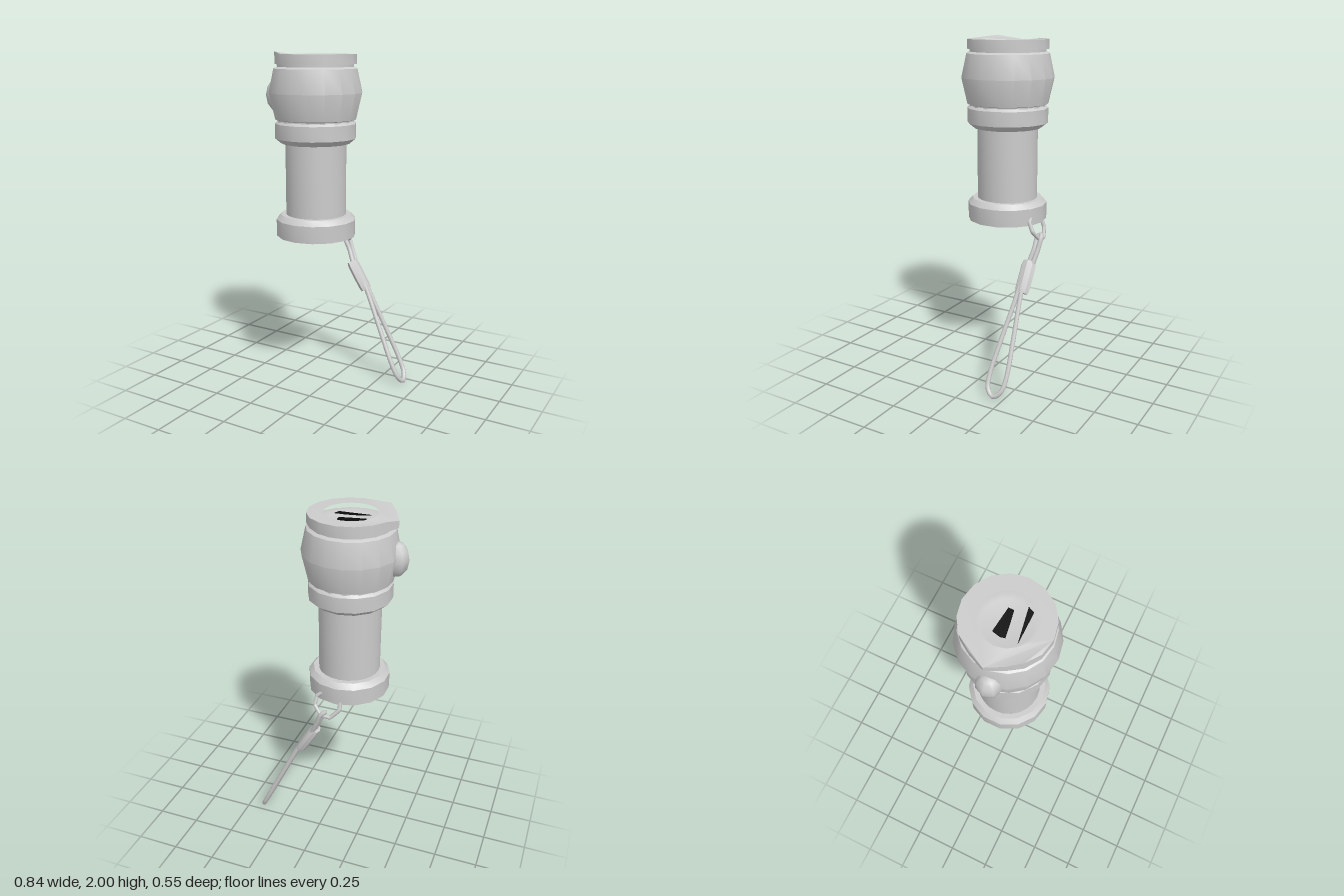
import * as THREE from 'three';
import { toCreasedNormals } from 'three/addons/utils/BufferGeometryUtils.js';

const grey = new THREE.MeshStandardMaterial({ color: 0xcccccc });
const dark = new THREE.MeshStandardMaterial({ color: 0x0a0a0a });
const AXIS_X = -0.1;

function add(parent, name, geometry, material = grey) {
  const mesh = new THREE.Mesh(geometry, material);
  mesh.name = name;
  parent.add(mesh);
  return mesh;
}

// Turned part from [radius, height] pairs, listed from the bottom up
function turned(profile, sides) {
  const points = profile.map(([r, y]) => new THREE.Vector2(r, y));
  return toCreasedNormals(new THREE.LatheGeometry(points, sides), 0.5);
}

function cord(points, radius, steps, closed = false, sides = 8) {
  const curve = new THREE.CatmullRomCurve3(points.map((p) => new THREE.Vector3(...p)), closed);
  return new THREE.TubeGeometry(curve, steps, radius, sides, closed);
}

// Flat outline drawn in (x, z), extruded upward
function slab(outline, y, height, holeRadius = 0) {
  const shape = new THREE.Shape(outline.map(([x, z]) => new THREE.Vector2(x, -z)));
  if (holeRadius) shape.holes.push(new THREE.Path().absarc(0, 0, holeRadius, 0, Math.PI * 2, true));
  const g = new THREE.ExtrudeGeometry(shape, { depth: height, bevelEnabled: false, curveSegments: 8 });
  return g.rotateX(-Math.PI / 2).translate(0, y, 0);
}

export function createModel() {
  const model = new THREE.Group();
  model.name = 'flashlight';

  const body = new THREE.Group();
  body.name = 'body';
  body.position.x = AXIS_X;
  model.add(body);

  // Faceted end cap, handle and collar
  add(body, 'tailCap', turned([[0, 0.93], [0.235, 0.93], [0.237, 1.03], [0.21, 1.06], [0, 1.06]], 14));
  add(body, 'handle', turned([[0.178, 1.05], [0.178, 1.5]], 24));
  add(body, 'collar', turned([[0, 1.48], [0.2, 1.48], [0.237, 1.51], [0.237, 1.595], [0.222, 1.61], [0, 1.61]], 14));

  // Bulging head with a shallow concave lens on top
  add(body, 'head', turned([
    [0.222, 1.6], [0.222, 1.615], [0.238, 1.62], [0.272, 1.77], [0.242, 1.905],
    [0.222, 1.915], [0.222, 1.935], [0.15, 1.95], [0.125, 1.945], [0, 1.935],
  ], 17));

  // Dark bulb openings on the lens
  const openings = [
    [[-0.07, -0.045], [0.07, -0.03], [0.07, 0], [-0.075, 0.025], [-0.08, 0]],
    [[-0.08, 0.09], [0.115, 0.055], [0.1, 0.09]],
  ];
  openings.forEach((outline) => add(body, 'bulbOpening', slab(outline, 1.93, 0.018), dark));

  // Bezel ring: the outline is drawn out to a point at the switch side
  const outline = [];
  for (let i = 0; i < 16; i++) {
    const a = (i / 16) * Math.PI * 2;
    const r = i === 8 ? 0.26 : 0.237;
    outline.push([r * Math.cos(a), r * Math.sin(a)]);
  }
  const bezel = slab(outline, 1.93, 0.055, 0.148);
  const p = bezel.attributes.position;
  for (let i = 0; i < p.count; i++) {
    if (p.getY(i) < 1.96) continue;
    if (p.getX(i) < -0.25) p.setY(i, 1.968);
    else if (p.getX(i) < -0.15 && p.getX(i) > -0.18 && p.getZ(i) > 0.15) p.setY(i, 2);
  }
  add(body, 'bezelRing', toCreasedNormals(bezel, 0.5));

  // Rounded switch button
  const button = add(body, 'button', new THREE.SphereGeometry(1, 8, 6));
  button.scale.set(0.075, 0.1, 0.072);
  button.position.set(-0.245, 1.75, 0.02);

  // Angular metal link under the tail cap
  const strap = new THREE.Group();
  strap.name = 'wristStrap';
  model.add(strap);
  const link = new THREE.CurvePath();
  const corners = [
    [-0.07, 0.99, -0.2], [-0.125, 0.95, -0.215], [-0.125, 0.895, -0.238], [-0.075, 0.845, -0.258],
    [-0.02, 0.85, -0.258], [0.025, 0.9, -0.238], [0.02, 0.95, -0.215], [-0.03, 0.99, -0.2],
  ].map((c) => new THREE.Vector3(...c));
  corners.forEach((c, i) => link.add(new THREE.LineCurve3(c, corners[(i + 1) % corners.length])));
  add(strap, 'link', new THREE.TubeGeometry(link, 48, 0.012, 6, true));

  // Small loop of cord around the link
  add(strap, 'upperCord', cord([
    [0.04, 0.7, -0.215], [0, 0.79, -0.235], [-0.035, 0.86, -0.24],
    [-0.045, 0.875, -0.258], [-0.025, 0.86, -0.268], [0.005, 0.79, -0.262], [0.045, 0.7, -0.245],
  ], 0.014, 28));

  // Clamp sleeve joining both cords
  const top = new THREE.Vector3(0.025, 0.722, -0.227);
  const end = new THREE.Vector3(0.127, 0.557, -0.217);
  const half = top.distanceTo(end) / 2;
  const sleeve = add(strap, 'clampSleeve', turned([
    [0, -half], [0.027, -half], [0.031, -half * 0.7], [0.031, half * 0.7], [0.027, half], [0, half],
  ], 8));
  sleeve.position.copy(top).add(end).multiplyScalar(0.5);
  sleeve.rotation.z = Math.atan2(end.x - top.x, top.y - end.y);
  sleeve.scale.z = 1.5;

  // Long hand loop, hanging along a slanted line
  const hang = [
    [0.6, -0.207], [0.5, -0.196], [0.3, -0.165], [0.12, -0.142], [0.05, -0.15], [0.016, -0.19],
    [0.05, -0.236], [0.12, -0.25], [0.3, -0.243], [0.5, -0.229], [0.6, -0.225],
  ].map(([y, z]) => [0.14 + (0.56 - y) * 0.49, y, z]);
  add(strap, 'handLoop', cord(hang, 0.014, 56));

  return model;
}
